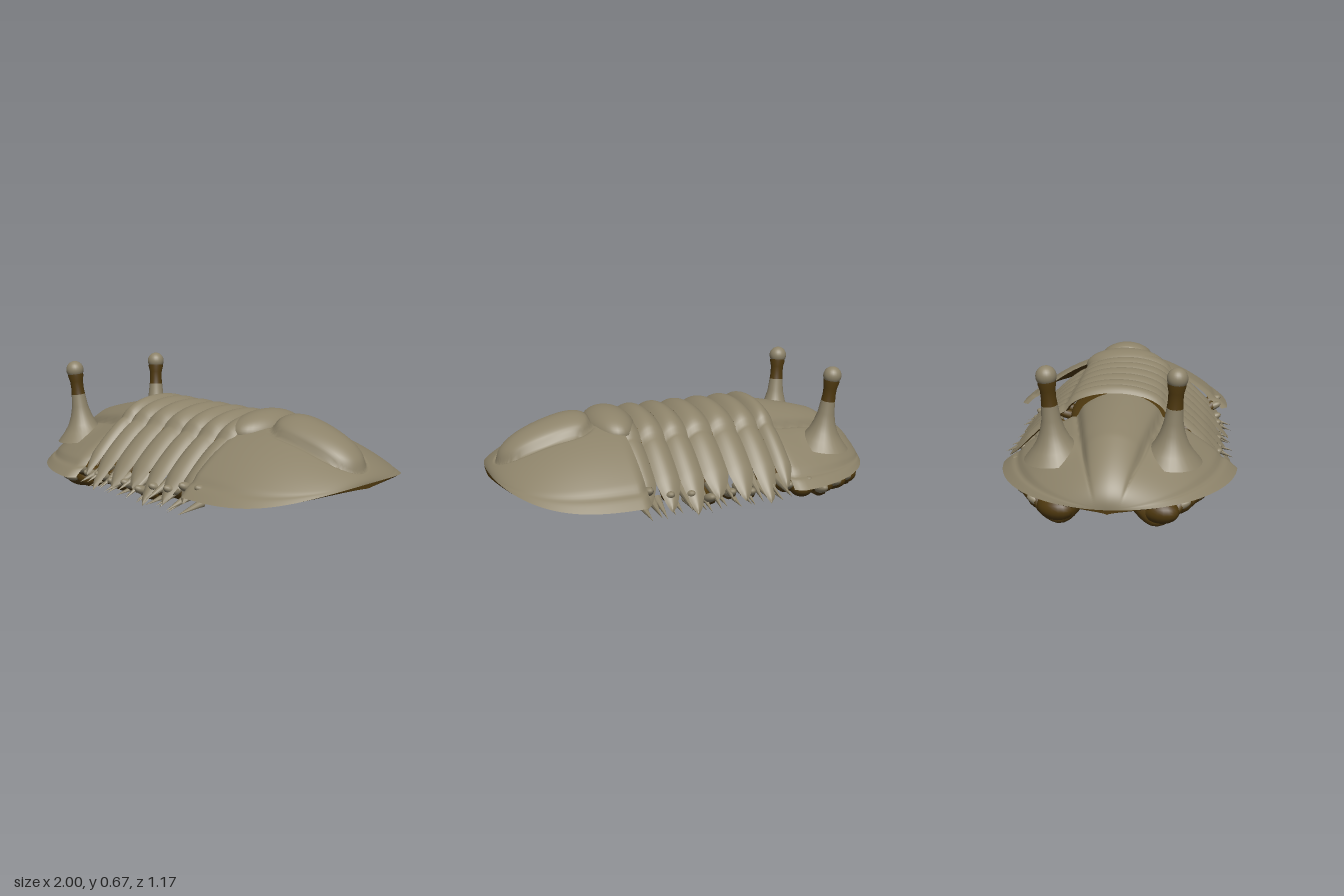
import * as THREE from 'three';

const shellMat = new THREE.MeshStandardMaterial({ color: 0x8c8269 });
shellMat.name = 'shellTan';
const fleshMat = new THREE.MeshStandardMaterial({ color: 0x4f390f });
fleshMat.name = 'undersideBrown';

// Grid surface from a rule; u runs along +x, v along +z, facing up unless flipped
function sheet(fn, nu, nv, flip, drop) {
  const pos = [], idx = [];
  for (let i = 0; i <= nu; i++) {
    for (let j = 0; j <= nv; j++) {
      const [x, y, z] = fn(i / nu, j / nv);
      const edge = Math.abs((2 * j) / nv - 1);
      pos.push(x, y - drop * (1 - edge ** 12), z);
      if (i === nu || j === nv) continue;
      const a = i * (nv + 1) + j, b = a + 1, c = a + nv + 1, d = c + 1;
      if (flip) idx.push(a, c, b, b, c, d);
      else idx.push(a, b, c, b, d, c);
    }
  }
  const g = new THREE.BufferGeometry();
  g.setAttribute('position', new THREE.Float32BufferAttribute(pos, 3));
  g.setIndex(idx);
  g.computeVertexNormals();
  return g;
}

function add(parent, name, geo, mat, p = [0, 0, 0], s = [1, 1, 1]) {
  const m = new THREE.Mesh(geo, mat);
  m.name = name;
  m.position.set(...p);
  m.scale.set(...s);
  parent.add(m);
  return m;
}

// Tan outside with a brown lining
function shell(parent, name, fn, nu, nv) {
  const g = new THREE.Group();
  g.name = name;
  add(g, name + 'Outer', sheet(fn, nu, nv, false, 0), shellMat);
  add(g, name + 'Lining', sheet(fn, nu, nv, true, 0.02), fleshMat);
  parent.add(g);
}

const gauss = (x, w) => Math.exp(-((x / w) ** 2));
const corner = (t) => 1 - 0.06 * Math.max(0, (t - 0.93) / 0.07) ** 2;
const headWidth = (t) => 0.55 * Math.sqrt(Math.max(0, 1 - (1 - t) ** 2)) * corner(t);

// Head shield with a raised wedge down the middle and mounds under the eyes
function headPoint(u, v) {
  const t = u * u, x = -1 + 0.62 * t, q = 2 * v - 1;
  const z = q * headWidth(t);
  let y = 0.13 + 0.28 * t ** 0.42 * (1 - Math.abs(q) ** 1.8);
  const half = 0.05 + 0.15 * t ** 0.7, k = Math.abs(z) / half;
  const fade = Math.min(1, t * 2.5);
  if (k < 1) y += 0.06 * fade * Math.sqrt(1 - k * k);
  y -= 0.012 * fade * (gauss(k - 1, 0.08) + gauss(Math.abs(q) - 0.87, 0.03));
  y += 0.025 * gauss(Math.hypot(x + 0.68, Math.abs(z) - 0.26), 0.09);
  return [x, y, z + 0.03];
}

// Tail shield, broad, upturned at its end, with a drop-shaped lobe on its axis
function tailPoint(u, v) {
  const t = (1 - u) ** 2, n = 1 - t, q = 2 * v - 1;
  const x = 1 - 0.61 * t;
  const z = q * 0.57 * Math.max(0, 1 - n ** 3) ** 0.45 * corner(t);
  const rim = 0.19 + 0.07 * n ** 4;
  const rise = (0.465 - rim) * Math.max(0, 1 - n ** 2.2) ** 0.6;
  const a = (x - 0.73) / 0.23;
  const d = a ** 4 + (z / (0.135 - 0.03 * a)) ** 2;
  let y = rim + rise * (1 - Math.abs(q) ** 1.95) - 0.01 * t * gauss(Math.abs(q) - 0.88, 0.03);
  if (d < 1) y += 0.065 * Math.sqrt(1 - d);
  y -= 0.01 * gauss(d - 1, 0.15);
  return [x, y, z - 0.02];
}

// One body ring: domed axis, sloping side plates, pointed ends
function ringPoint(x0, x1, reach) {
  return (u, v) => {
    const q = 2 * v - 1, s = Math.abs(q) * reach, k = 2 * u - 1;
    const taper = Math.max(0, 1 - Math.max(0, (s - 0.42) / (reach - 0.42))) ** 0.6;
    let y = s < 0.23 ? 0.37 + 0.105 * Math.sqrt(1 - (s / 0.235) ** 2)
      : 0.385 - 0.26 * ((s - 0.23) / 0.29) ** 1.3;
    y += 0.03 * (1 - k * k) * (0.35 + 0.65 * taper) - 0.006;
    const x = (x0 + x1) / 2 + (k * (x1 - x0) * taper) / 2 + 0.02 * (1 - taper);
    return [x, y, q * reach + 0.01];
  };
}

export function createModel() {
  const model = new THREE.Group();
  model.name = 'trilobite';

  shell(model, 'headShield', headPoint, 56, 110);
  shell(model, 'tailShield', tailPoint, 72, 110);

  // Body rings
  const edges = [-0.4, -0.31, -0.19, -0.06, 0.07, 0.19, 0.31, 0.42];
  for (let i = 0; i < 7; i++) {
    shell(model, 'bodyRing' + (i + 1), ringPoint(edges[i], edges[i + 1], 0.51 + 0.02 * ((i * 2) % 3 - 0.5)), 10, 64);
  }

  // Raised lobe joining body and tail
  const dome = new THREE.SphereGeometry(1, 40, 16, 0, Math.PI * 2, 0, Math.PI / 2);
  add(model, 'tailRingLobe', dome, shellMat, [0.405, 0.42, -0.01], [0.12, 0.095, 0.215]);

  // Eye stalks: flared tan foot, brown neck, round eye
  const lathe = (pts) => new THREE.LatheGeometry(pts.map((p) => new THREE.Vector2(...p)), 28);
  const foot = lathe([[0.14, -0.05], [0.1, -0.005], [0.075, 0.03], [0.056, 0.075], [0.043, 0.125], [0.036, 0.19]]);
  const neck = lathe([[0.036, 0.19], [0.033, 0.22], [0.034, 0.26], [0.041, 0.29], [0.038, 0.32]]);
  const ball = new THREE.SphereGeometry(0.046, 24, 16);
  for (const [name, z, lean] of [['leftEye', 0.28, 0.07], ['rightEye', -0.235, -0.08]]) {
    const eye = new THREE.Group();
    eye.name = name;
    eye.position.set(-0.68, 0.3, z);
    eye.rotation.set(lean, 0, 0.09);
    add(eye, name + 'Foot', foot, shellMat);
    add(eye, name + 'Neck', neck, fleshMat);
    add(eye, name + 'Ball', ball, shellMat, [0, 0.322, 0]);
    model.add(eye);
  }

  // Bulging mouth plate and belly
  const blob = new THREE.SphereGeometry(1, 20, 14);
  add(model, 'mouthPlate', blob, fleshMat, [-0.62, 0.19, 0.02], [0.31, 0.08, 0.25]);
  add(model, 'belly', blob, fleshMat, [0.02, 0.28, 0.01], [0.52, 0.07, 0.26]);

  const spine = new THREE.ConeGeometry(0.026, 0.17, 8);
  for (const side of [1, -1]) {
    // Legs, lowest under the head and rising towards the tail
    for (let i = 0; i < 13; i++) {
      const x = -0.84 + i * 0.105;
      const underHead = x < -0.4;
      const low = x < -0.55 ? 0.027 + 0.008 * (i % 2) : 0.08 + Math.max(0, x) * 0.2 + 0.012 * (i % 2);
      const r = underHead ? Math.min(0.44, 0.84 * headWidth((x + 1) / 0.62)) : 0.45;
      const at = (dx, y, k) => new THREE.Vector3(x + dx, y, 0.015 + side * r * k);
      const path = new THREE.CatmullRomCurve3([
        at(0, underHead ? 0.18 : 0.27, 0.25), at(-0.02, low + 0.07, 0.42), at(0, low, 0.65),
        at(0.02, low + 0.025, 0.88), at(0.05, low + 0.06, 1),
      ]);
      add(model, 'leg', new THREE.TubeGeometry(path, 16, 0.026, 8), fleshMat);
      add(model, 'legTip', blob, shellMat, [x + 0.05, low + 0.055, 0.015 + side * r], [0.026, 0.022, 0.05])
        .rotation.x = -side * 0.4;
      if (x < -0.5) {
        add(model, 'legPad', blob, fleshMat, [x, 0.075, 0.015 + side * r * 0.72], [0.065, 0.055, 0.09])
          .rotation.y = 0.5 * (i % 3) - 0.5;
      }
    }
    // Two rows of side spines between the ring tips
    for (let i = 0; i < 10; i++) {
      const x = -0.34 + i * 0.075, stagger = (i * 2) % 3 - 1;
      add(model, 'sideSpine', spine, shellMat, [x, 0.15 + 0.012 * stagger, 0.01 + side * (0.46 + 0.015 * (i % 2))])
        .rotation.x = side * (1.85 + 0.12 * (i % 3));
      add(model, 'lowerSpine', spine, shellMat, [x + 0.03, 0.115 + 0.01 * stagger, 0.01 + side * 0.44], [0.9, 0.9, 0.7])
        .rotation.x = side * (1.75 + 0.1 * (i % 3));
    }
  }
  return model;
}
